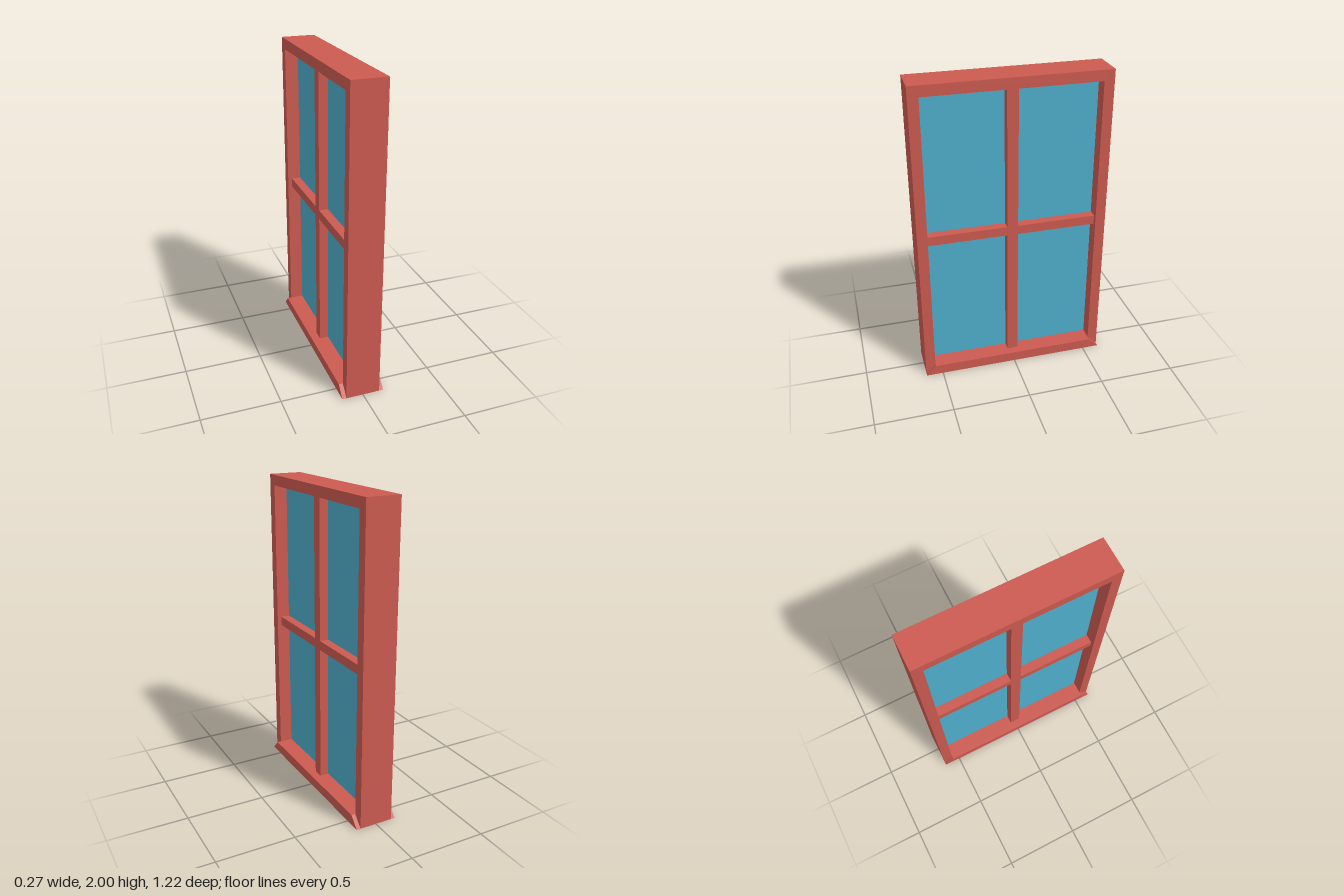
import * as THREE from 'three';

const HALF_W = 0.61, INNER_W = 0.545, HEIGHT = 2, SILL = 0.067, HEAD = 1.932;
const DEPTH = 0.22, LIP = 0.027, BAR_DEPTH = 0.166, GLASS_DEPTH = 0.048;

const red = new THREE.MeshStandardMaterial({ color: 0xcb5a50, flatShading: true });
const blue = new THREE.MeshStandardMaterial({ color: 0x4eaecb, flatShading: true });

const polygon = (points, Type = THREE.Shape) => new Type(points.map(([z, y]) => new THREE.Vector2(z, y)));

// Extrudes a z/y outline along x, centred on x = 0
function extrudeX(shape, depth) {
  const geometry = new THREE.ExtrudeGeometry(shape, { depth, bevelEnabled: false });
  return geometry.translate(0, 0, -depth / 2).rotateY(-Math.PI / 2);
}

export function createModel() {
  const model = new THREE.Group();
  model.name = 'window';
  const add = (name, geometry, material, x = 0, y = 0, z = 0) => {
    const mesh = new THREE.Mesh(geometry, material);
    mesh.name = name;
    mesh.position.set(x, y, z);
    model.add(mesh);
  };

  // Outer frame with one large opening
  const outline = polygon([[-HALF_W, 0], [HALF_W, 0], [HALF_W, HEIGHT], [-HALF_W, HEIGHT]]);
  outline.holes.push(polygon([[-INNER_W, SILL], [-INNER_W, HEAD], [INNER_W, HEAD], [INNER_W, SILL]], THREE.Path));
  add('frame', extrudeX(outline, DEPTH), red);

  // Projecting sill lips with mitred ends, on both faces
  const lip = polygon([[-HALF_W, 0], [HALF_W, 0], [INNER_W, SILL], [-INNER_W, SILL]]);
  for (const side of [1, -1]) {
    add(side > 0 ? 'leftSillLip' : 'rightSillLip', extrudeX(lip, LIP), red, side * (DEPTH + LIP) / 2);
  }

  // Crossing glazing bars; the horizontal one is split around the vertical one
  const barHalf = 0.035, midY = (SILL + HEAD) / 2;
  add('verticalBar', new THREE.BoxGeometry(BAR_DEPTH, HEAD - SILL, barHalf * 2), red, 0, midY);
  const barLength = INNER_W - barHalf;
  const paneHeight = (HEAD - SILL) / 2;
  for (const side of [1, -1]) {
    const z = side * (barHalf + barLength / 2);
    add('horizontalBar', new THREE.BoxGeometry(BAR_DEPTH, 0.06, barLength), red, 0, midY, z);
    // Glass panes above and below
    for (const level of [1, -1]) {
      add('glassPane', new THREE.BoxGeometry(GLASS_DEPTH, paneHeight, barLength), blue, 0, midY + level * paneHeight / 2, z);
    }
  }
  return model;
}
